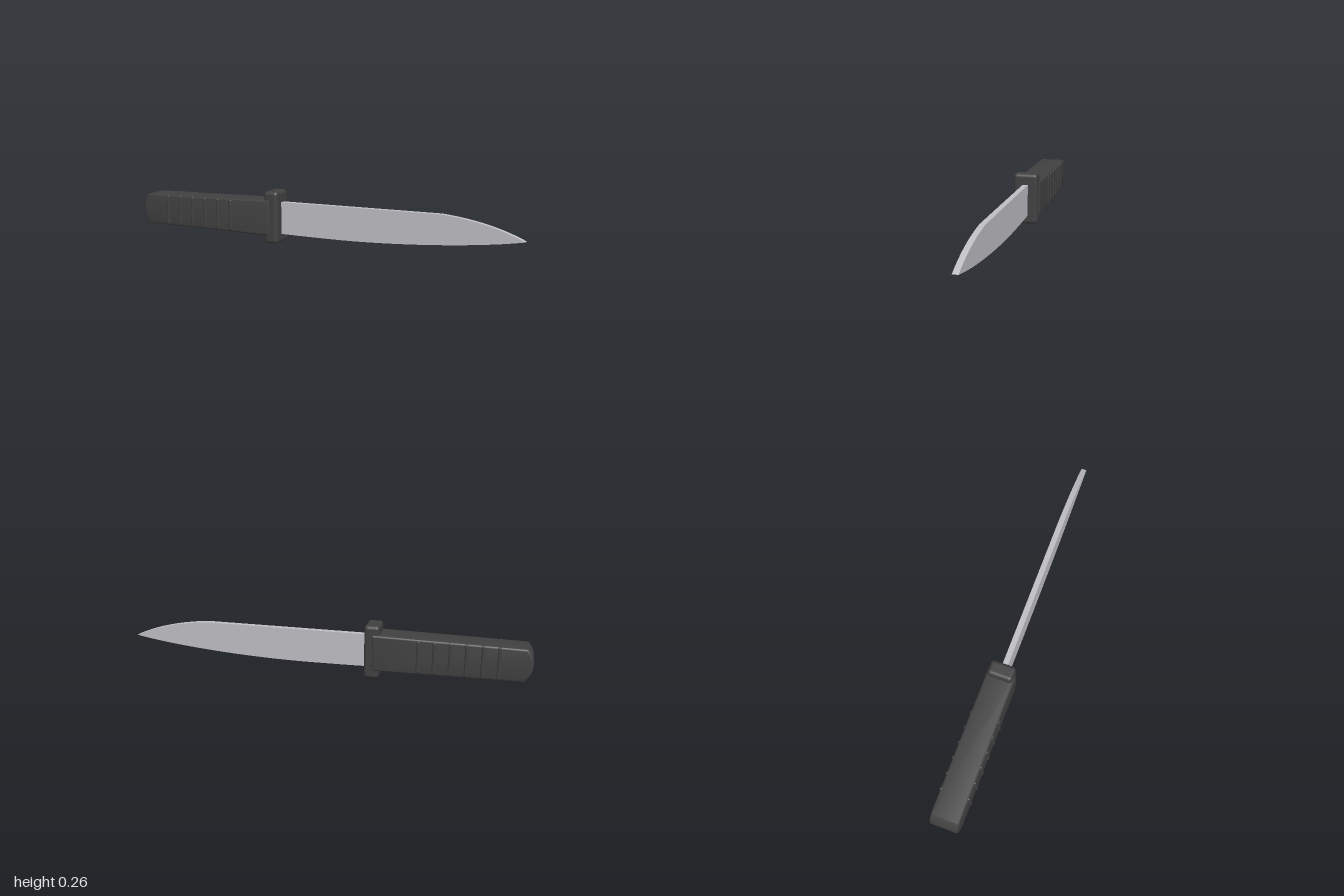
import * as THREE from 'three';
import { toCreasedNormals } from 'three/addons/utils/BufferGeometryUtils.js';
import { RoundedBoxGeometry } from 'three/addons/geometries/RoundedBoxGeometry.js';

const grip = new THREE.MeshStandardMaterial({ name: 'dark grip', color: 0x404040 });
const steel = new THREE.MeshStandardMaterial({ name: 'steel', color: 0xbebec3 });

// Extrudes a side outline to a full width centred on z = 0, with rounded edges
function slab(shape, width, bevel) {
  const g = new THREE.ExtrudeGeometry(shape, {
    depth: width - 2 * bevel, curveSegments: 14,
    bevelEnabled: bevel > 0, bevelSize: bevel, bevelOffset: -bevel, bevelThickness: bevel, bevelSegments: 3,
  });
  g.translate(0, 0, -width / 2 + bevel);
  return toCreasedNormals(g, 0.6);
}

export function createModel() {
  const model = new THREE.Group();
  model.name = 'knife';
  const add = (name, geometry, material, x = 0, y = 0, z = 0) => {
    const mesh = new THREE.Mesh(geometry, material);
    mesh.name = name;
    mesh.position.set(x, y, z);
    model.add(mesh);
  };

  // Blade: straight spine, then a curve down to the point
  const blade = new THREE.Shape();
  blade.moveTo(-0.25, 0.046);
  blade.quadraticCurveTo(-0.05, 0.042, 0.12, 0.042);
  blade.bezierCurveTo(0.42, 0.043, 0.78, 0.07, 0.995, 0.111);
  blade.bezierCurveTo(0.89, 0.16, 0.77, 0.192, 0.61, 0.207);
  blade.lineTo(-0.25, 0.207);
  blade.closePath();
  add('blade', slab(blade, 0.027, 0), steel);

  // Handle: slight taper towards a bulging butt
  const handle = new THREE.Shape();
  handle.moveTo(-0.25, 0.042);
  handle.lineTo(-0.25, 0.219);
  handle.lineTo(-0.967, 0.208);
  handle.bezierCurveTo(-1.011, 0.165, -1.011, 0.095, -0.96, 0.05);
  handle.closePath();
  add('handle', slab(handle, 0.138, 0.009), grip);

  // Guard
  add('guard', new RoundedBoxGeometry(0.074, 0.263, 0.124, 4, 0.018), grip, -0.246, 0.1315, 0);

  // Raised grip ribs on both sides
  for (let i = 0; i < 6; i++) {
    for (const side of [-1, 1]) {
      add('gripRib', new THREE.CapsuleGeometry(0.009, 0.142, 5, 10), grip, -0.845 + i * 0.075, 0.131, side * 0.066);
    }
  }
  return model;
}
